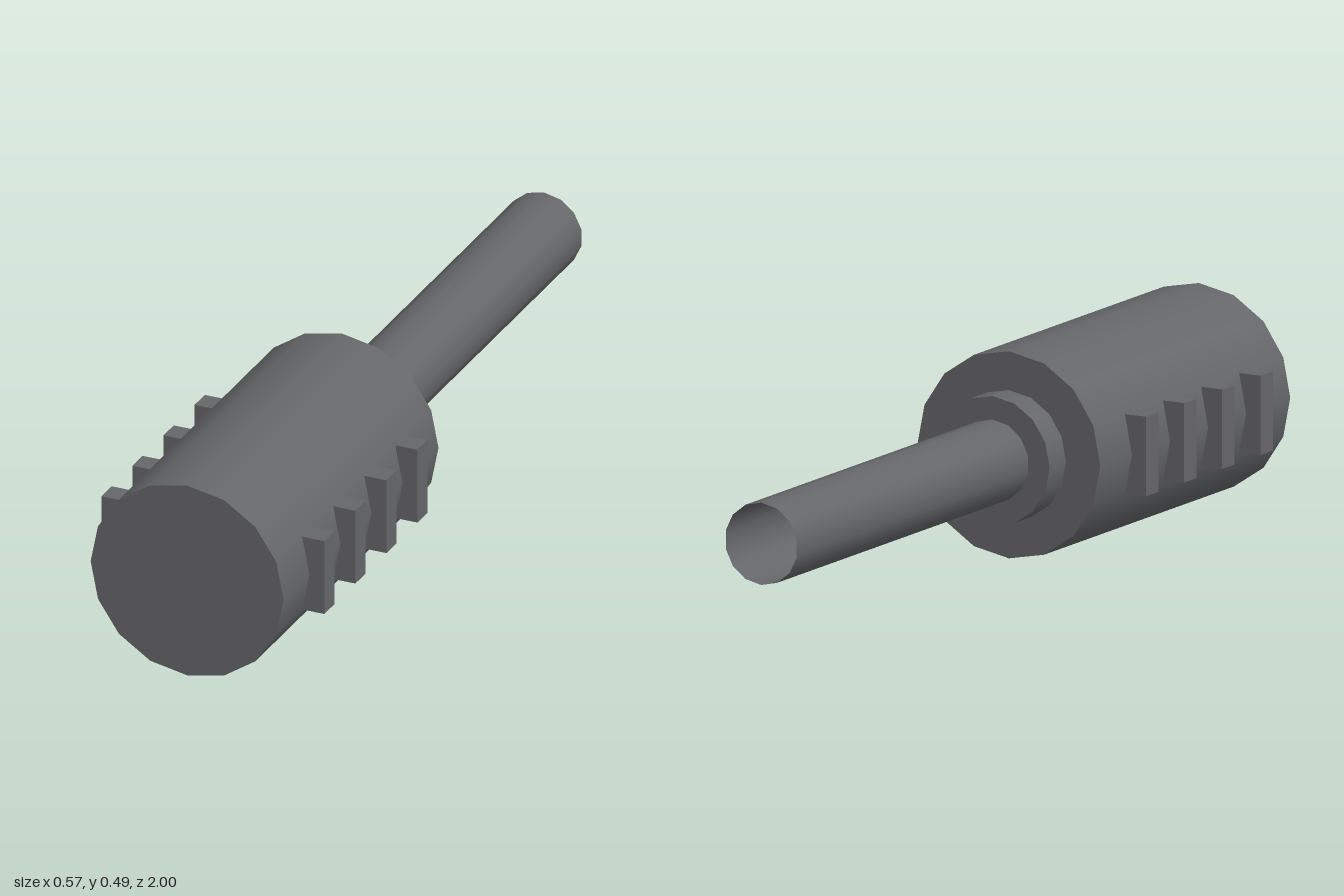
import * as THREE from 'three';

export function createModel() {
  const model = new THREE.Group();
  const axisY = 0.245;
  const solid = new THREE.MeshStandardMaterial({ color: 0x656668 });
  const thin = new THREE.MeshStandardMaterial({ color: 0x656668, side: THREE.DoubleSide });

  // Faceted cylinder lying along z
  function barrel(name, radius, sides, zBack, zFront, open = false) {
    const geometry = new THREE.CylinderGeometry(radius, radius, zFront - zBack, sides, 1, open);
    geometry.rotateX(Math.PI / 2);
    const mesh = new THREE.Mesh(geometry, open ? thin : solid);
    mesh.name = name;
    mesh.position.set(0, axisY, (zFront + zBack) / 2);
    model.add(mesh);
  }

  barrel('gripBody', 0.245, 16, 0.132, 1);
  barrel('collar', 0.153, 16, 0.057, 0.132);
  barrel('hollowRod', 0.0975, 14, -1, 0.057, true);

  // Rows of grip ribs on both sides, sunk into the body
  const ribShape = new THREE.BoxGeometry(0.083, 0.188, 0.057);
  for (const side of [-1, 1]) {
    const row = new THREE.Group();
    row.name = side > 0 ? 'leftGripRibs' : 'rightGripRibs';
    for (let i = 0; i < 4; i++) {
      const rib = new THREE.Mesh(ribShape, solid);
      rib.name = 'gripRib';
      rib.position.set(side * 0.2415, axisY, 0.305 + i * 0.174);
      row.add(rib);
    }
    model.add(row);
  }
  return model;
}
